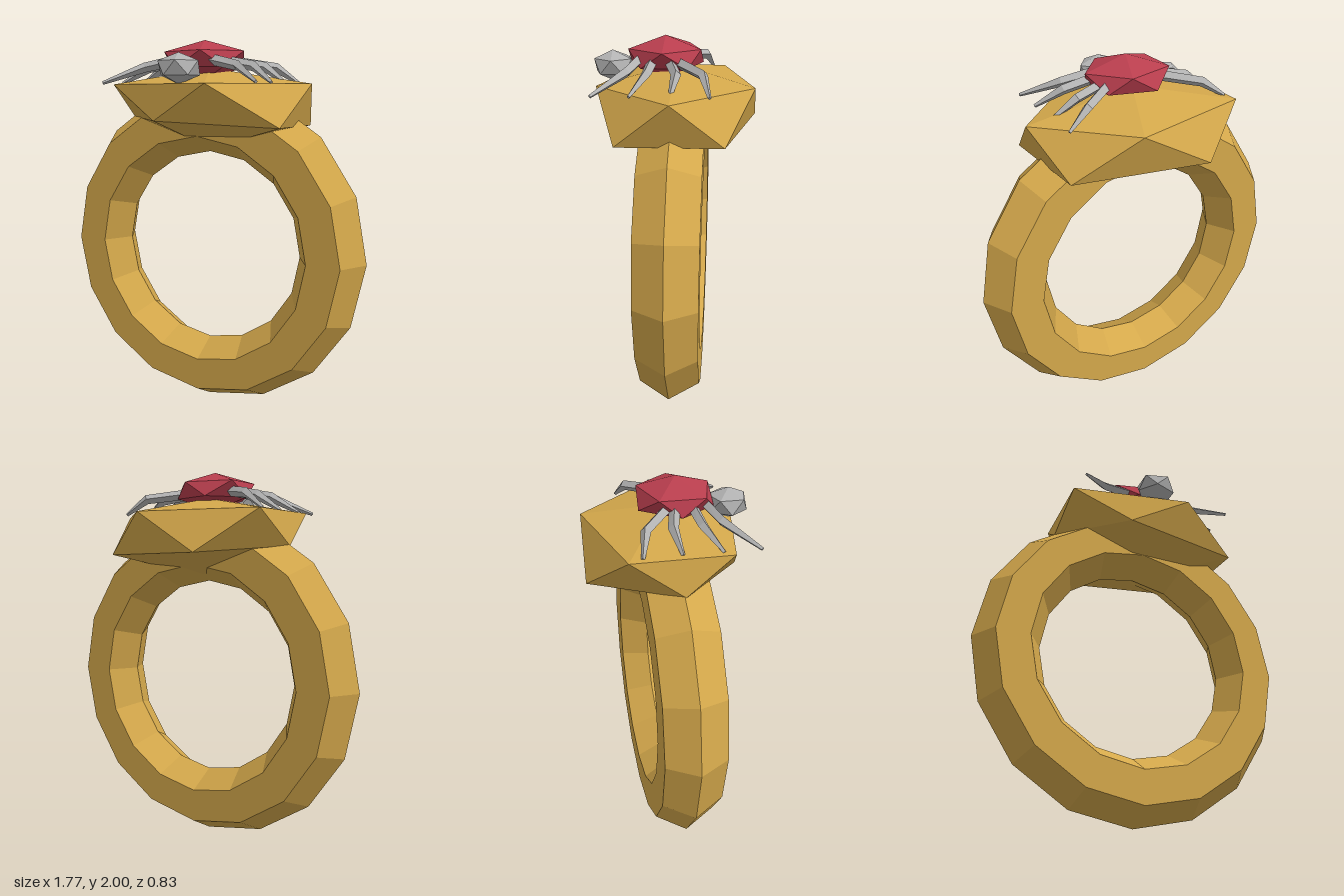
import * as THREE from 'three';

const gold = new THREE.MeshStandardMaterial({ color: 0xd4a84b });
gold.name = 'gold';
const ruby = new THREE.MeshStandardMaterial({ color: 0xb93e4e });
ruby.name = 'ruby red';
const silver = new THREE.MeshStandardMaterial({ color: 0xb2b2b2 });
silver.name = 'silver';

// Faceted geometry from a list of corner points, three per triangle
function facets(corners) {
  const geometry = new THREE.BufferGeometry().setFromPoints(corners);
  geometry.computeVertexNormals();
  return geometry;
}

// Icosahedral stone: top point, two rings of five, bottom point
function stone(top, upper, lower, bottom) {
  const out = [];
  for (let i = 0; i < 5; i++) {
    const j = (i + 1) % 5;
    out.push(top, upper[j], upper[i]);
    out.push(upper[i], upper[j], lower[i]);
    out.push(upper[j], lower[j], lower[i]);
    out.push(bottom, lower[i], lower[j]);
  }
  return facets(out);
}

// Five points round an ellipse, starting at the given angle
function pentagon(rx, rz, y, z, start) {
  return Array.from({ length: 5 }, (_, i) => {
    const a = start + (i * Math.PI * 2) / 5;
    return new THREE.Vector3(rx * Math.cos(a), y, z + rz * Math.sin(a));
  });
}

// Four-sided tapering limb along a bent path
function limb(path, radii) {
  const up = new THREE.Vector3(0, 1, 0);
  const rings = path.map((p, k) => {
    const t = path[Math.min(k + 1, path.length - 1)].clone()
      .sub(path[Math.max(k - 1, 0)]).normalize();
    const side = up.clone().cross(t).normalize();
    const normal = t.clone().cross(side);
    return Array.from({ length: 4 }, (_, j) => p.clone()
      .addScaledVector(side, radii[k] * Math.cos((j * Math.PI) / 2))
      .addScaledVector(normal, radii[k] * Math.sin((j * Math.PI) / 2)));
  });
  const out = [];
  for (let k = 0; k < rings.length - 1; k++) {
    for (let j = 0; j < 4; j++) {
      const n = (j + 1) % 4;
      const a = rings[k][j], b = rings[k][n], c = rings[k + 1][n], d = rings[k + 1][j];
      out.push(a, b, c, a, c, d);
    }
  }
  const s = rings[0], e = rings[rings.length - 1];
  out.push(s[0], s[2], s[1], s[0], s[3], s[2], e[0], e[1], e[2], e[0], e[2], e[3]);
  return facets(out);
}

export function createModel() {
  const model = new THREE.Group();
  model.name = 'spiderRing';
  const V = (x, y, z) => new THREE.Vector3(x, y, z);
  const add = (name, geometry, material, parent = model) => {
    const mesh = new THREE.Mesh(geometry, material);
    mesh.name = name;
    parent.add(mesh);
    return mesh;
  };

  // Finger band with a six-sided section
  const band = new THREE.TorusGeometry(0.71, 0.177, 6, 16).toNonIndexed();
  band.computeVertexNormals();
  add('band', band, gold).position.set(0, 0.887, -0.007);

  // Uneven faceted setting on top of the band
  add('setting', stone(
    V(0, 1.86, -0.01),
    pentagon(0.57, 0.41, 1.775, -0.01, 0),
    [V(0.51, 1.565, 0.25), V(-0.15, 1.59, 0.325), V(-0.49, 1.6, 0),
      V(-0.19, 1.565, -0.42), V(0.48, 1.56, -0.26)],
    V(0, 1.435, -0.01)), gold);

  // Spider
  const spider = new THREE.Group();
  spider.name = 'spider';
  model.add(spider);
  add('body', stone(
    V(0, 2, 0.05),
    pentagon(0.225, 0.19, 1.94, 0.05, 0),
    pentagon(0.205, 0.195, 1.86, 0.045, Math.PI / 5),
    V(0, 1.8, 0.05)), ruby, spider);
  add('head', stone(
    V(0, 1.925, 0.32),
    pentagon(0.108, 0.1, 1.885, 0.315, 0),
    pentagon(0.105, 0.1, 1.815, 0.315, Math.PI / 5),
    V(0, 1.772, 0.32)), silver, spider);

  // Four legs each side: root, knee and foot as [x, y, z]
  const legs = [
    [[0.1, 1.895, 0.17], [0.27, 1.86, 0.215], [0.435, 1.78, 0.36]],
    [[0.14, 1.89, 0.105], [0.31, 1.86, 0.115], [0.435, 1.78, 0.183]],
    [[0.14, 1.89, 0.02], [0.31, 1.86, -0.023], [0.43, 1.78, -0.004]],
    [[0.13, 1.89, -0.01], [0.32, 1.86, -0.15], [0.435, 1.78, -0.184]],
  ];
  for (const side of [1, -1]) {
    legs.forEach((points, i) => {
      const path = points.map(([x, y, z]) => V(side * x, y, z));
      add(`${side > 0 ? 'left' : 'right'}Leg${i + 1}`, limb(path, [0.027, 0.025, 0.009]), silver, spider);
    });
  }
  return model;
}
